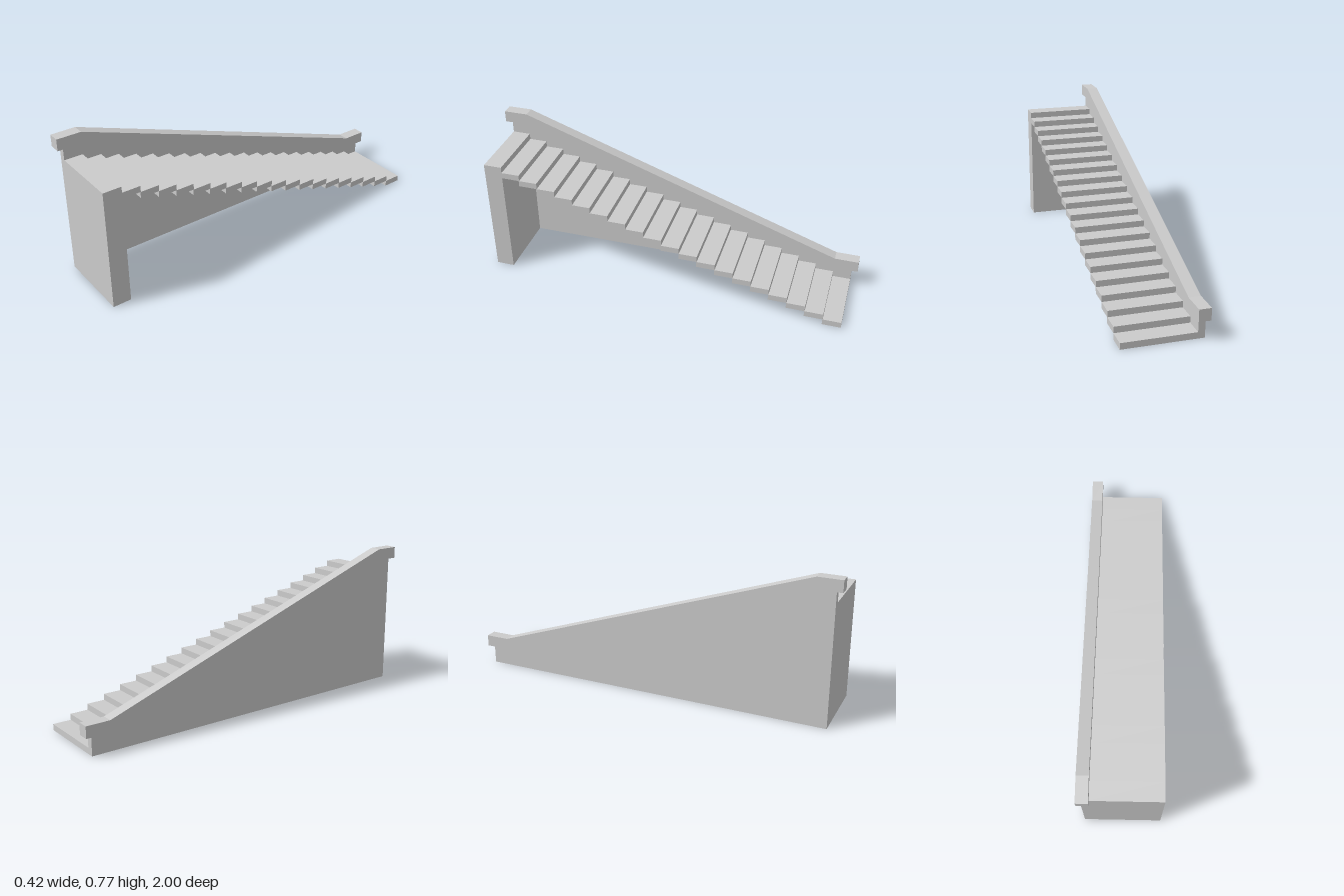
import * as THREE from 'three';

const material = new THREE.MeshStandardMaterial({ color: 0xcccccc, flatShading: true });

// Extrudes a side profile of [z, y] points between x0 and x1
function sideProfile(name, points, x0, x1) {
  const shape = new THREE.Shape(points.map(([z, y]) => new THREE.Vector2(z, y)));
  const geometry = new THREE.ExtrudeGeometry(shape, { depth: x1 - x0, bevelEnabled: false });
  geometry.rotateY(-Math.PI / 2).translate(x1, 0, 0);
  const mesh = new THREE.Mesh(geometry, material);
  mesh.name = name;
  return mesh;
}

function box(name, x0, x1, y0, y1, z0, z1) {
  const mesh = new THREE.Mesh(new THREE.BoxGeometry(x1 - x0, y1 - y0, z1 - z0), material);
  mesh.position.set((x0 + x1) / 2, (y0 + y1) / 2, (z0 + z1) / 2);
  mesh.name = name;
  return mesh;
}

export function createModel() {
  const group = new THREE.Group();
  group.name = 'staircase';

  const count = 20, halfRun = 0.967, height = 0.646;
  const rise = height / count, run = (2 * halfRun) / count;
  const wallOuter = -0.195, wallInner = -0.161, stairEdge = 0.209;
  const bend = 0.872, lowRail = 0.1, highRail = 0.712, railHeight = 0.062;

  // Solid side wall, its top following the handrail
  group.add(sideProfile('sideWall', [
    [-halfRun, 0], [halfRun, 0], [halfRun, highRail], [bend, highRail],
    [-bend, lowRail], [-halfRun, lowRail],
  ], wallOuter, wallInner));

  // Handrail with level ends, wider than the wall
  group.add(sideProfile('handrail', [
    [-1, lowRail], [-bend, lowRail], [bend, highRail], [1, highRail],
    [1, highRail + railHeight], [bend, highRail + railHeight],
    [-bend, lowRail + railHeight], [-1, lowRail + railHeight],
  ], -0.209, -0.148));

  // Slab steps climbing towards the front, open underneath
  const steps = new THREE.Group();
  steps.name = 'steps';
  for (let i = 0; i < count - 1; i++) {
    const z = -halfRun + i * run;
    steps.add(box('step', wallInner, stairEdge, i * rise, (i + 1) * rise, z, z + run + 0.002));
  }
  group.add(steps);

  // Top step carried down to the ground as an end wall
  group.add(box('endWall', wallInner, stairEdge, 0, height, halfRun - run, halfRun));

  return group;
}
